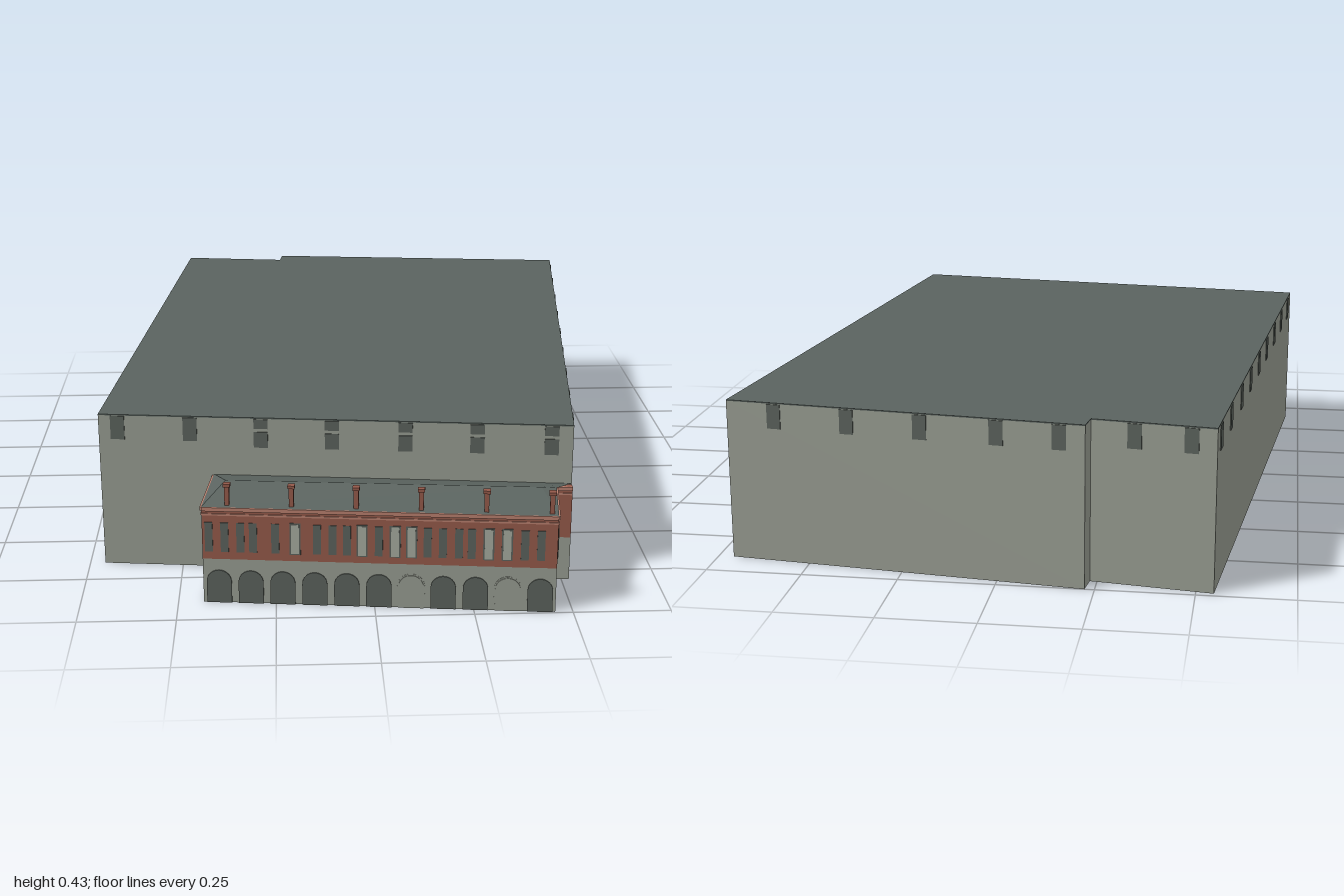
import * as THREE from 'three';

const mat = (name, color, side = THREE.FrontSide) => {
  const m = new THREE.MeshStandardMaterial({ color, side });
  m.name = name;
  return m;
};

export function createModel() {
  const stone = mat('grey stone', 0x979c91);
  const slate = mat('dark slate', 0x5a635f, THREE.DoubleSide);
  const glass = mat('dark opening', 0x5b625c);
  const brick = mat('red brick', 0x94594a);
  const trim = mat('pale brick trim', 0xb87f6e);
  const pale = mat('pale window', 0xa5aa9f);

  const model = new THREE.Group();
  model.name = 'hall';
  const add = (parent, name, geo, material, x = 0, y = 0, z = 0) => {
    const m = new THREE.Mesh(geo, material);
    m.name = name;
    m.position.set(x, y, z);
    parent.add(m);
    return m;
  };

  // Vertical prism over an [x, z] footprint
  const prism = (name, pts, y0, y1, material) => {
    const shape = new THREE.Shape(pts.map(([x, z]) => new THREE.Vector2(x, -z)));
    const geo = new THREE.ExtrudeGeometry(shape, { depth: y1 - y0, bevelEnabled: false });
    geo.rotateX(-Math.PI / 2);
    return add(model, name, geo, material, 0, y0, 0);
  };

  // Group lying on a wall: local x runs from a to b, local z points outwards
  const wall = (name, a, b) => {
    const g = new THREE.Group();
    g.name = name;
    g.position.set(a[0], 0, a[1]);
    g.rotation.y = -Math.atan2(b[1] - a[1], b[0] - a[0]);
    g.userData.length = Math.hypot(b[0] - a[0], b[1] - a[1]);
    model.add(g);
    return g;
  };
  const plate = (g, name, u, y0, y1, w, material, d = 0.005) =>
    add(g, name, new THREE.BoxGeometry(w, y1 - y0, d), material, u, (y0 + y1) / 2, 0);

  // Main hall with flat roof
  const F0 = [-0.71, 0.645], F1 = [0.52, 0.787], B0 = [0.71, -0.897], B1 = [-0.225, -1],
    B2 = [-0.232, -0.943], B3 = [-0.545, -0.985];
  const hall = [F0, F1, B0, B1, B2, B3];
  prism('hallWalls', hall, 0, 0.422, stone);
  prism('hallRoof', hall, 0.422, 0.425, slate);

  // High windows under the hall roof
  const front = wall('hallFront', F0, F1);
  [-0.66, -0.47, -0.285, -0.1, 0.09, 0.275, 0.465].forEach((x, i) => {
    const u = (x + 0.71) / 1.23 * front.userData.length;
    if (i < 2) plate(front, 'highWindow', u, 0.357, 0.421, 0.037, glass);
    else {
      plate(front, 'highWindow', u, 0.395, 0.421, 0.037, glass);
      plate(front, 'highWindow', u, 0.343, 0.386, 0.037, glass);
    }
  });
  const highRow = (name, a, b, fractions) => {
    const g = wall(name, a, b);
    fractions.forEach(f => plate(g, 'highWindow', f * g.userData.length, 0.357, 0.421, 0.036, glass));
  };
  const sideFractions = [0.7, 0.51, 0.32, 0.12, -0.07, -0.26, -0.45, -0.655, -0.835]
    .map(z => (0.787 - z) / 1.684);
  highRow('hallLeft', F1, B0, sideFractions);
  highRow('hallBack', B0, B1, [0.137, 0.345, 0.55, 0.76, 0.93]);
  highRow('hallBackRecess', B2, B3, [0.35, 0.8]);
  highRow('hallRight', B3, F0, sideFractions.map(f => 1 - f));

  // Front building: stone ground floor, brick upper floor
  const A0 = [-0.435, 0.895], A1 = [0.455, 0.995], A2 = [0.478, 0.8], A3 = [0.52, 0.805],
    A4 = [0.52, 0.78], A5 = [-0.41, 0.67];
  const annex = [A0, A1, A2, A3, A4, A5];
  prism('groundFloor', annex, 0, 0.12, stone);
  prism('upperFloor', annex, 0.12, 0.262, brick);

  const aFront = wall('annexFront', A0, A1);
  const aLeft = wall('annexLeft', A1, A2);
  const aReturn = wall('annexReturn', A2, A3);
  const aRight = wall('annexRight', A5, A0);
  for (const g of [aFront, aLeft, aReturn, aRight]) {
    const L = g.userData.length;
    plate(g, 'cornice', L / 2, 0.252, 0.262, L, trim, 0.008);
    plate(g, 'corniceLine', L / 2, 0.24, 0.245, L, trim, 0.005);
  }

  // Arcade; two arches are walled up
  const arch = (w, h) => {
    const r = w / 2, s = new THREE.Shape();
    s.moveTo(-r, 0);
    s.lineTo(r, 0);
    s.lineTo(r, h - r);
    s.absarc(0, h - r, r, 0, Math.PI, false);
    s.lineTo(-r, 0);
    return new THREE.ExtrudeGeometry(s, { depth: 0.003, bevelEnabled: false, curveSegments: 8 });
  };
  const archGeo = arch(0.064, 0.09), blindFrame = arch(0.07, 0.094);
  for (let i = 0; i < 11; i++) {
    const u = 0.041 + i * 0.0815, blind = i === 6 || i === 9;
    if (blind) add(aFront, 'blindArchEdge', blindFrame, stone, u, 0, -0.002);
    add(aFront, blind ? 'blindArch' : 'arch', archGeo, blind ? stone : glass, u, 0, 0);
  }

  // Upper windows, dark or pale
  const upperWindow = (g, u, isPale) => {
    if (isPale) {
      plate(g, 'windowFrame', u, 0.138, 0.224, 0.028, glass, 0.004);
      plate(g, 'paleWindow', u, 0.141, 0.221, 0.02, pale, 0.007);
    } else plate(g, 'darkWindow', u, 0.141, 0.221, 0.02, glass);
  };
  const paleSet = new Set([5, 9, 11, 12, 17, 18]);
  [-0.418, -0.378, -0.338, -0.306, -0.25, -0.2, -0.145, -0.106, -0.07, -0.032, 0.01, 0.051, 0.092,
    0.132, 0.17, 0.21, 0.242, 0.284, 0.33, 0.374, 0.414].forEach((x, i) =>
    upperWindow(aFront, (x + 0.435) * 1.0063, paleSet.has(i)));
  [[0.032, true], [0.085, true], [0.128, false], [0.17, false]].forEach(([u, p]) => {
    upperWindow(aLeft, u, p);
    upperWindow(aRight, aRight.userData.length - u, p);
  });

  // Hipped roof of the front building
  const e = 0.262;
  const v = [
    [A0[0], e, A0[1]], [A1[0], e, A1[1]],               // 0, 1 front eave
    [-0.376, 0.295, 0.8], [0.427, 0.295, 0.882],        // 2, 3 ridge
    [0.465, 0.292, 0.882], [0.52, 0.266, 0.79],         // 4, 5 side hip
    [-0.41, e, 0.672], [0.478, e, 0.8]                  // 6, 7 back eave
  ];
  const faces = [0, 1, 3, 0, 3, 2, 3, 1, 4, 2, 3, 5, 2, 5, 6, 3, 4, 5, 0, 2, 6, 1, 7, 4, 7, 5, 4];
  const roof = new THREE.BufferGeometry();
  roof.setAttribute('position', new THREE.Float32BufferAttribute(faces.flatMap(i => v[i]), 3));
  roof.computeVertexNormals();
  add(model, 'annexRoof', roof, slate);

  // Chimneys along the front eave
  for (let i = 0; i < 6; i++) {
    const u = 0.064 + i * 0.163;
    add(aFront, 'chimney', new THREE.BoxGeometry(0.012, 0.054, 0.012), brick, u, 0.287, -0.014);
    add(aFront, 'chimneyCap', new THREE.BoxGeometry(0.018, 0.008, 0.018), brick, u, 0.318, -0.014);
  }
  return model;
}
